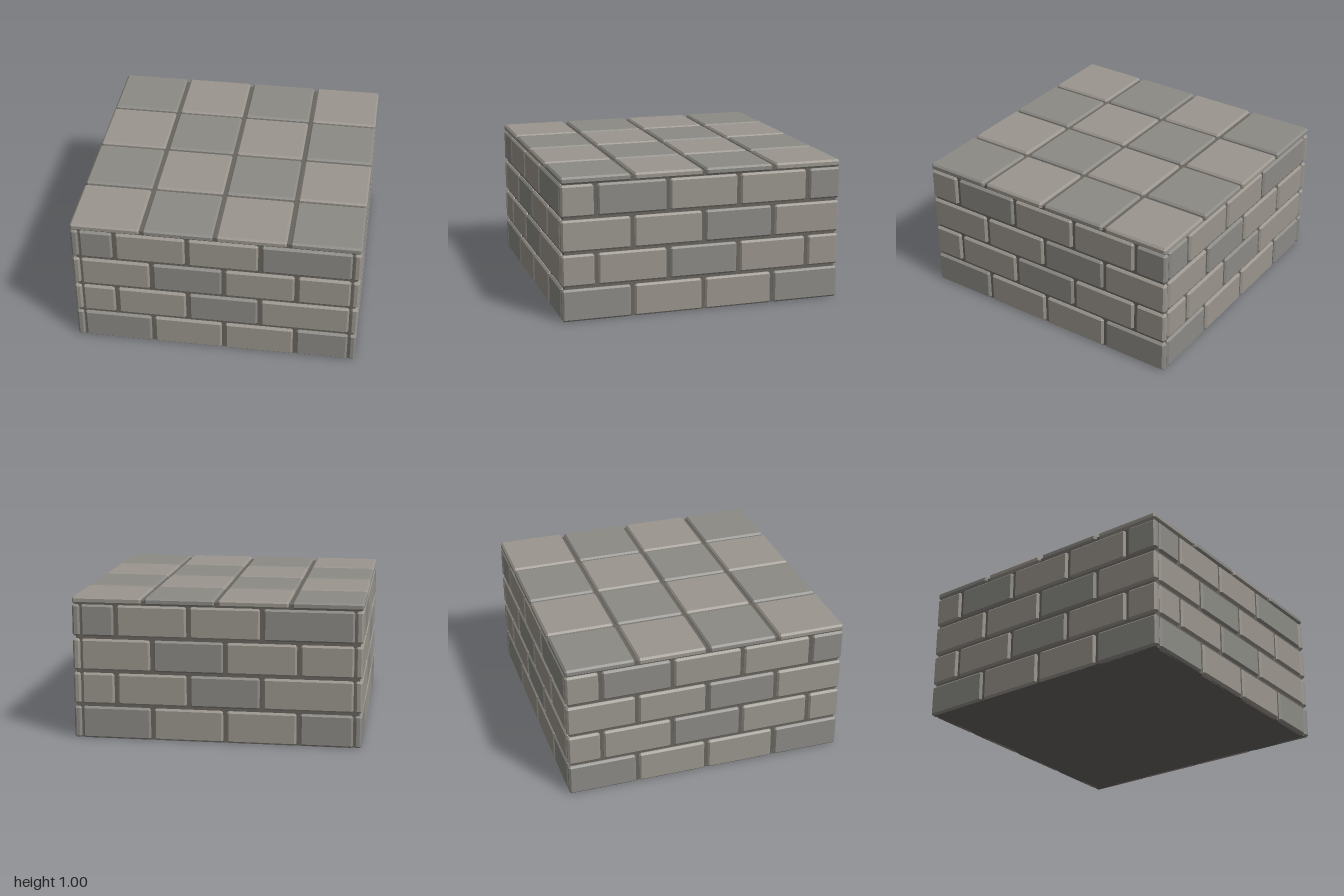
import * as THREE from 'three';
import { ConvexGeometry } from 'three/addons/geometries/ConvexGeometry.js';

const GAP = 0.025, LENGTH = 0.48125, PITCH = LENGTH + GAP;
const THICK = 0.05, BEVEL = 0.013;
const ROWS = 4, ROW_PITCH = 0.24, ROW_HEIGHT = 0.22;

const material = (color) => new THREE.MeshStandardMaterial({ color, flatShading: true });

// Box with chamfered edges, centred on the origin
function chamferBox(w, h, d) {
  const points = [];
  for (const x of [-1, 1]) for (const y of [-1, 1]) for (const z of [-1, 1]) {
    for (let face = 0; face < 3; face++) {
      const p = [w, h, d].map((s, i) => s / 2 - (i === face ? 0 : BEVEL));
      points.push(new THREE.Vector3(x * p[0], y * p[1], z * p[2]));
    }
  }
  return new ConvexGeometry(points);
}

export function createModel() {
  const model = new THREE.Group();
  model.name = 'stoneBlock';
  const light = material(0x9a958d), dark = material(0x8b8a85), mortar = material(0x69655f);

  // Mortar core, visible in the joints and underneath
  const core = new THREE.Mesh(new THREE.BoxGeometry(1.96, 0.978, 1.96), mortar);
  core.name = 'mortarCore';
  core.position.y = 0.489;
  model.add(core);

  // Running-bond wall along local x, with its outer face at z = 1
  function wall(name, half, halfBrick) {
    const group = new THREE.Group();
    group.name = name;
    for (let row = 0; row < ROWS; row++) {
      const bottom = row === 0 ? 0 : row * ROW_PITCH + 0.005;
      const top = row * ROW_PITCH + 0.005 + ROW_HEIGHT;
      let start = -half;
      for (let i = 0; start < half - 0.05; i++) {
        let end = start + (row % 2 && i === 0 ? halfBrick : LENGTH);
        // The last brick fills up to the corner
        if (half - end < 0.2) end = half;
        const brick = new THREE.Mesh(
          chamferBox(end - start, top - bottom, THICK),
          (row + i) % 3 === 0 ? dark : light
        );
        brick.name = 'brick';
        brick.position.set((start + end) / 2, (top + bottom) / 2, 1 - THICK / 2);
        group.add(brick);
        start = end + GAP;
      }
    }
    model.add(group);
    return group;
  }

  // Front and back fit between the full-length side walls
  wall('frontWall', 0.94, 0.2275);
  wall('backWall', 0.94, 0.2275).rotation.y = Math.PI;
  // Side walls are turned so that their brick order starts at the far corner
  for (const side of [1, -1]) {
    const group = wall(side > 0 ? 'leftWall' : 'rightWall', 1, 0.228);
    group.rotation.y = side * Math.PI / 2;
    // Mirror the brick order along the wall
    group.children.forEach((brick) => { brick.position.x *= -1; });
  }

  // Checkered paving on top
  const paving = new THREE.Group();
  paving.name = 'paving';
  const tileGeometry = chamferBox(LENGTH, THICK, LENGTH);
  for (let i = 0; i < 4; i++) for (let j = 0; j < 4; j++) {
    const tile = new THREE.Mesh(tileGeometry, (i + j) % 2 ? light : dark);
    tile.name = 'pavingTile';
    tile.position.set((i - 1.5) * PITCH, 1 - THICK / 2, (j - 1.5) * PITCH);
    paving.add(tile);
  }
  model.add(paving);
  return model;
}
